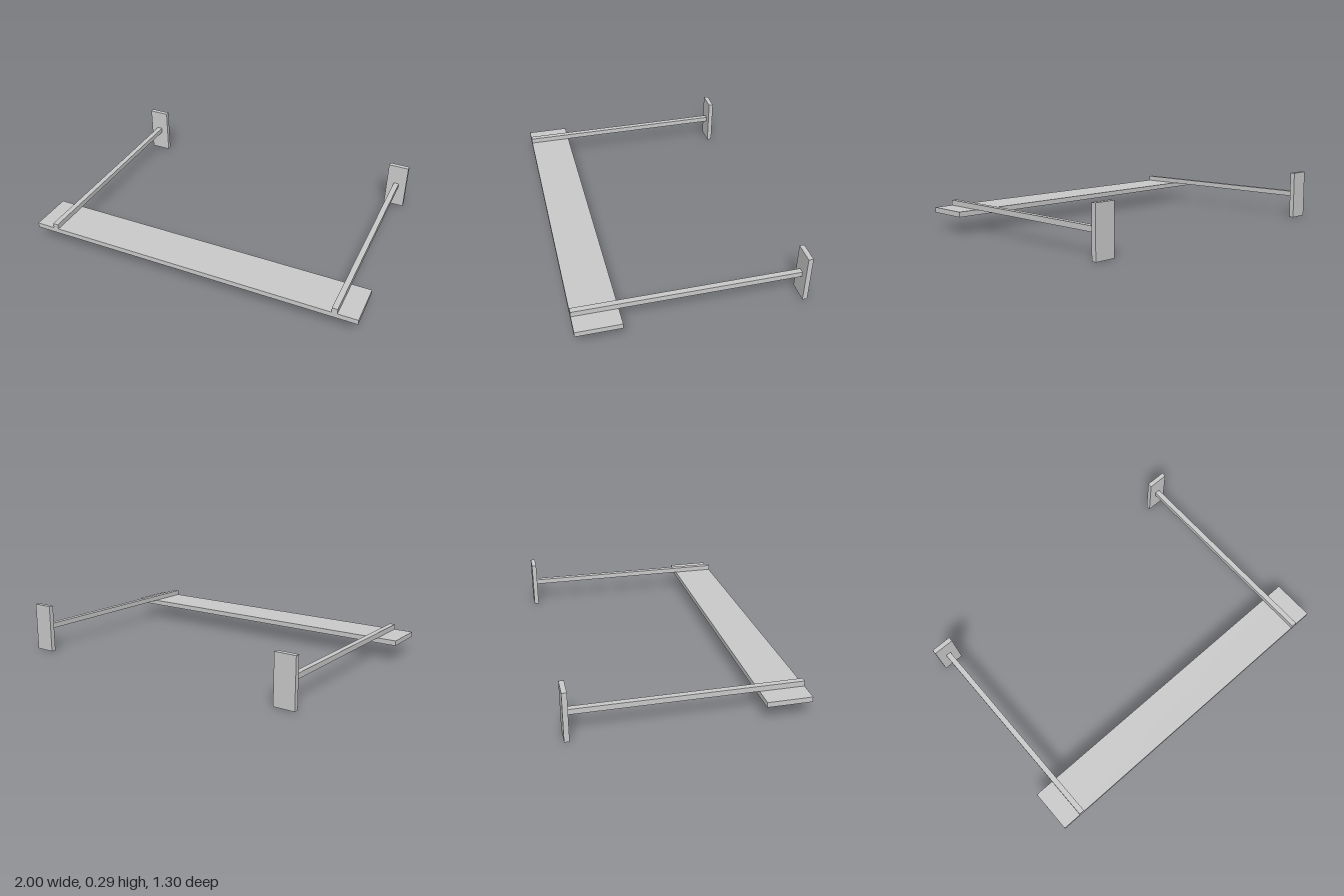
import * as THREE from 'three';

const grey = new THREE.MeshStandardMaterial({ color: 0xcccccc, flatShading: true });
const red = new THREE.MeshStandardMaterial({ color: 0xaa0000, flatShading: true });

// Box given by its lowest and highest corner
function box(name, min, max) {
  const size = max.map((v, i) => v - min[i]);
  const mesh = new THREE.Mesh(new THREE.BoxGeometry(...size), grey);
  mesh.position.set(...max.map((v, i) => (v + min[i]) / 2));
  mesh.name = name;
  return mesh;
}

export function createModel() {
  const group = new THREE.Group();
  group.name = 'hangingWarningBoard';

  const bottom = 0.1, zBack = 0.397, zFront = 0.65;
  group.add(box('board', [-1, bottom, zBack], [1, 0.13, zFront]));

  // Slanted warning stripes on the underside, cut off at the board ends
  const w = 1 / 3;
  const stripes = new THREE.Group();
  stripes.name = 'warningStripes';
  const outlines = [
    [[1, zBack], [1, zFront], [2 * w, zFront]],
    [[2 * w, zBack], [w, zBack], [0, zFront], [w, zFront]],
    [[0, zBack], [-w, zBack], [-2 * w, zFront], [-w, zFront]],
    [[-2 * w, zBack], [-1, zBack], [-1, zFront]],
  ];
  for (const outline of outlines) {
    const shape = new THREE.Shape(outline.map(([x, z]) => new THREE.Vector2(x, z)));
    const stripe = new THREE.Mesh(new THREE.ShapeGeometry(shape).rotateX(Math.PI / 2), red);
    stripe.position.y = bottom - 0.0008;
    stripe.name = 'stripe';
    stripes.add(stripe);
  }
  group.add(stripes);

  // Support arm and wall plate on each side
  for (const side of [-1, 1]) {
    const support = new THREE.Group();
    support.name = side > 0 ? 'leftSupport' : 'rightSupport';
    const x = side * 0.87;
    support.add(
      box('arm', [x - 0.016, 0.13, -0.622], [x + 0.016, 0.161, 0.65]),
      box('wallPlate', [x - 0.062, 0, -0.65], [x + 0.062, 0.286, -0.622]),
    );
    group.add(support);
  }
  return group;
}
